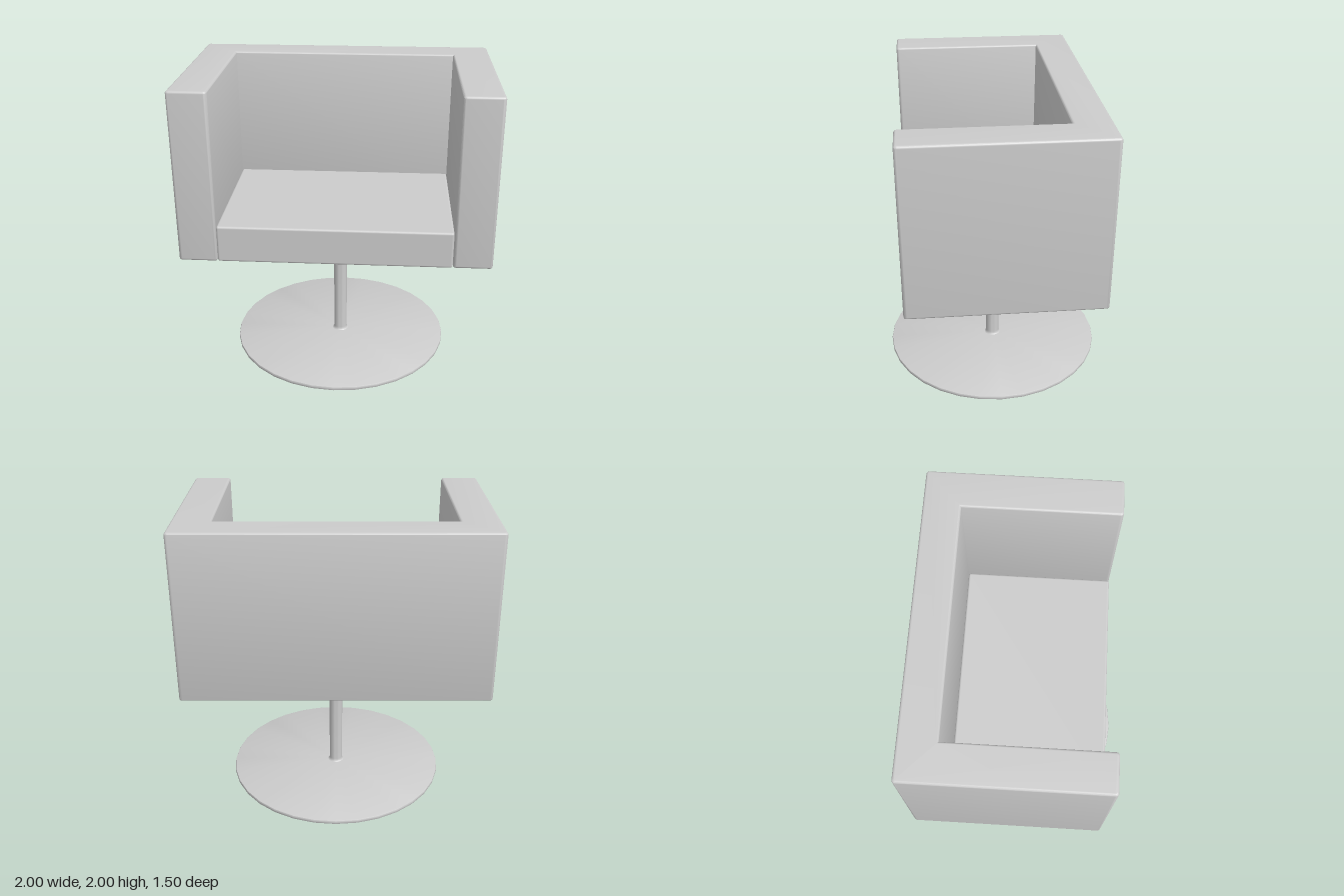
import * as THREE from 'three';
import { toCreasedNormals } from 'three/addons/utils/BufferGeometryUtils.js';
import { RoundedBoxGeometry } from 'three/addons/geometries/RoundedBoxGeometry.js';

const material = new THREE.MeshStandardMaterial({ color: 0xcccccc });

function part(name, geometry) {
  const mesh = new THREE.Mesh(geometry, material);
  mesh.name = name;
  return mesh;
}

// Closed outline from [x, y, cornerRadius] entries
function roundedOutline(corners) {
  const shape = new THREE.Shape();
  const n = corners.length;
  corners.forEach(([x, y, r], i) => {
    const p = new THREE.Vector2(x, y);
    const toward = ([qx, qy]) =>
      new THREE.Vector2(qx - x, qy - y).normalize().multiplyScalar(r).add(p);
    const a = toward(corners[(i + n - 1) % n]);
    const b = toward(corners[(i + 1) % n]);
    if (i === 0) shape.moveTo(a.x, a.y);
    else shape.lineTo(a.x, a.y);
    if (r > 0) shape.quadraticCurveTo(x, y, b.x, b.y);
  });
  shape.closePath();
  return shape;
}

// Turned part from [radius, height] entries, listed bottom to top
function turned(name, profile) {
  const points = profile.map(([r, y]) => new THREE.Vector2(r, y));
  return part(name, toCreasedNormals(new THREE.LatheGeometry(points, 32), 0.6));
}

// Flat disc with a softened rim
function disc(name, radius, bottom, top) {
  const e = (top - bottom) * 0.3;
  return turned(name, [
    [0, bottom], [radius - e, bottom], [radius - e * 0.3, bottom + e * 0.3], [radius, bottom + e],
    [radius, top - e], [radius - e * 0.3, top - e * 0.3], [radius - e, top], [0, top],
  ]);
}

export function createModel() {
  const chair = new THREE.Group();
  chair.name = 'swivelArmchair';

  // Arms and back in one U-shaped shell, drawn in plan (shape y = -z)
  const r = 0.022, bevel = 0.016, bottom = 0.88, top = 2;
  const plan = roundedOutline([
    [-1, -0.62, r], [-0.75, -0.62, r], [-0.75, 0.385, 0], [0.75, 0.385, 0],
    [0.75, -0.62, r], [1, -0.62, r], [1, 0.625, r], [-1, 0.625, r],
  ]);
  const shell = new THREE.ExtrudeGeometry(plan, {
    depth: top - bottom - 2 * bevel,
    bevelThickness: bevel, bevelSize: bevel, bevelOffset: -bevel,
    bevelSegments: 6, curveSegments: 6,
  });
  shell.rotateX(-Math.PI / 2).translate(0, bottom + bevel, 0);
  chair.add(part('armsAndBack', toCreasedNormals(shell, 0.5)));

  // Seat cushion filling the U
  const seat = part('seat', new RoundedBoxGeometry(1.498, 0.245, 1.005, 4, 0.015));
  seat.position.set(0, 1.0025, 0.1175);
  chair.add(seat);

  // Swivel plate, post flared at both ends, round floor plate
  chair.add(disc('swivelPlate', 0.42, 0.86, 0.885));
  chair.add(turned('post', [
    [0.06, 0.026], [0.052, 0.03], [0.047, 0.038], [0.046, 0.05],
    [0.046, 0.838], [0.047, 0.85], [0.052, 0.858], [0.06, 0.862],
  ]));
  chair.add(disc('floorPlate', 0.75, 0, 0.028));

  return chair;
}
